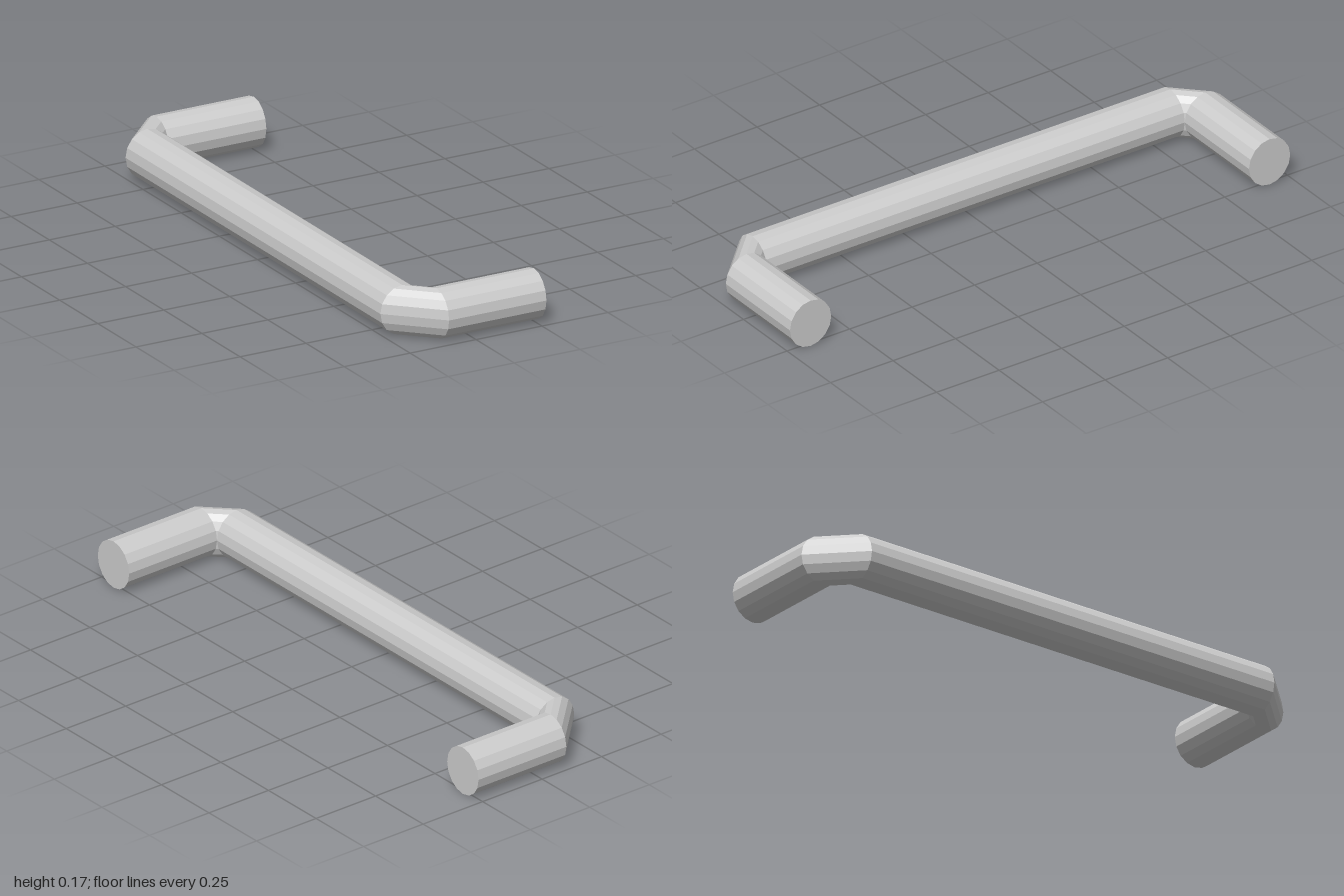
import * as THREE from 'three';

const SIDES = 16;
const RX = 0.0825, RY = 0.0863; // half thickness across and up
const INNER_X = -0.102, INNER_Z = 0.835, TIP_X = 0.267; // inside corner, leg tip

// Stations along the handle; a = distance outward from the inside line
const stations = [
  (a) => [TIP_X, INNER_Z + a],
  (a) => [INNER_X, INNER_Z + a],
  (a) => [INNER_X - a, INNER_Z],
  (a) => [INNER_X - a, 0],
  (a) => [INNER_X - a, -INNER_Z],
  (a) => [INNER_X, -INNER_Z - a],
  (a) => [TIP_X, -INNER_Z - a],
];

// Point on the section ring at station i, corner j
function ringPoint(i, j) {
  const t = ((j % SIDES) / SIDES) * Math.PI * 2;
  const [x, z] = stations[i](RX * (1 + Math.cos(t)));
  return new THREE.Vector3(x, RY * (1 + Math.sin(t)), z);
}

function centre(i) {
  const [x, z] = stations[i](RX);
  return new THREE.Vector3(x, RY, z);
}

function barGeometry() {
  const points = [];
  // Add a triangle, skipping those that collapse at the inside corner
  const tri = (a, b, c) => {
    const area = b.clone().sub(a).cross(c.clone().sub(a)).length();
    if (area > 1e-8) points.push(a, b, c);
  };
  const last = stations.length - 1;
  for (let j = 0; j < SIDES; j++) {
    for (let i = 0; i < last; i++) {
      const a = ringPoint(i, j), b = ringPoint(i, j + 1);
      const c = ringPoint(i + 1, j), d = ringPoint(i + 1, j + 1);
      tri(a, b, c);
      tri(b, d, c);
    }
    // Flat end caps
    tri(centre(0), ringPoint(0, j + 1), ringPoint(0, j));
    tri(centre(last), ringPoint(last, j), ringPoint(last, j + 1));
  }
  const geometry = new THREE.BufferGeometry().setFromPoints(points);
  geometry.computeVertexNormals();
  return geometry;
}

export function createModel() {
  const group = new THREE.Group();
  group.name = 'pullHandle';
  const material = new THREE.MeshStandardMaterial({ color: 0xcccccc, flatShading: true });
  // One continuous bar: leg, mitred elbow, grip, elbow, leg
  const bar = new THREE.Mesh(barGeometry(), material);
  bar.name = 'handleBar';
  group.add(bar);
  return group;
}
